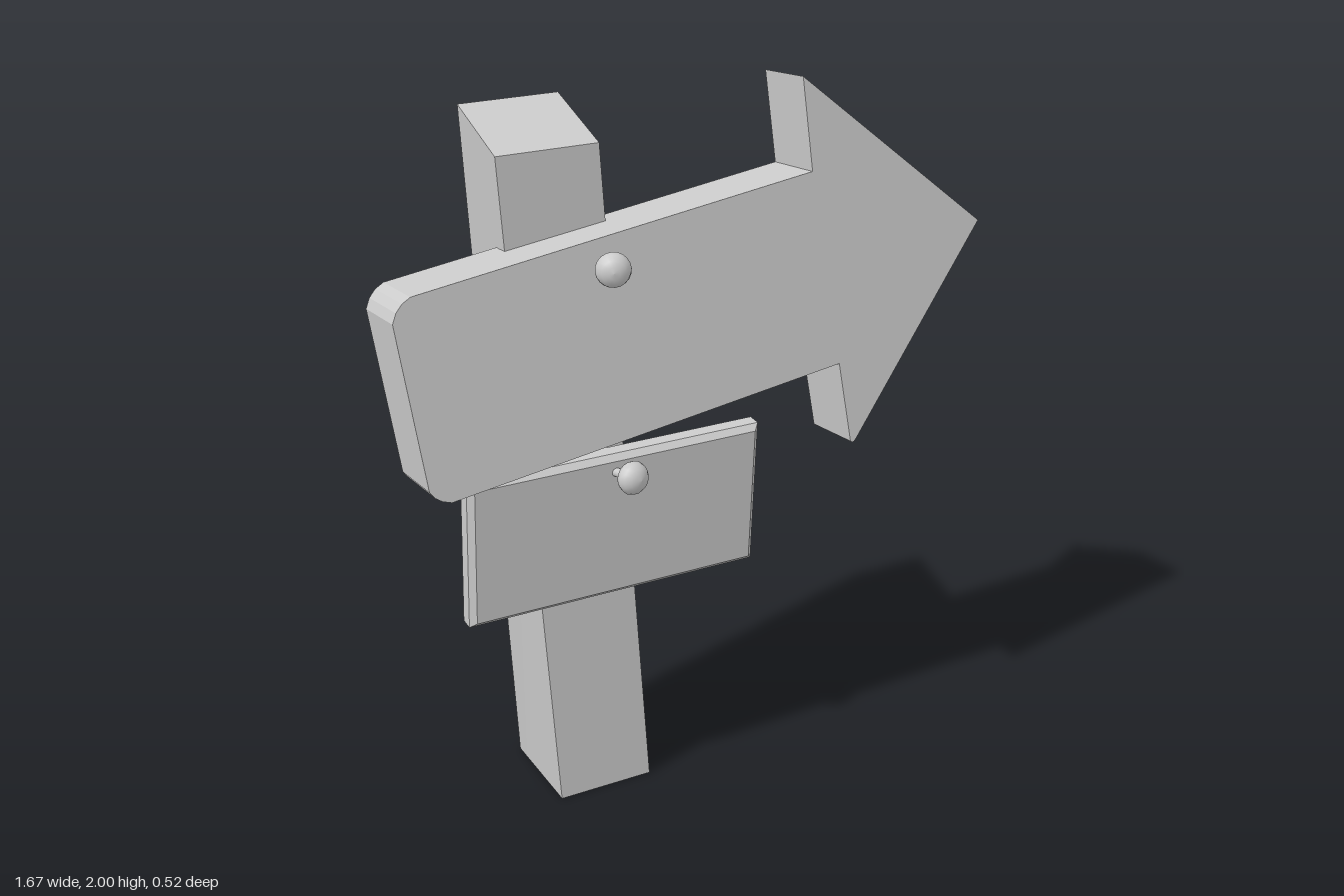
import * as THREE from 'three';

const material = new THREE.MeshStandardMaterial({ color: 0xcccccc });

function part(name, geometry) {
  const mesh = new THREE.Mesh(geometry, material);
  mesh.name = name;
  return mesh;
}

// Leaning, slightly twisted square post with a slanted top
function makePost() {
  const geometry = new THREE.BoxGeometry(2, 2, 2);
  const p = geometry.attributes.position;
  for (let i = 0; i < p.count; i++) {
    const top = p.getY(i) > 0;
    const front = p.getZ(i) > 0;
    const centre = !top ? -0.243 : front ? -0.37 : -0.345;
    const y = !top ? 0 : front ? 1.875 : 1.937;
    p.setXYZ(i, centre + p.getX(i) * 0.139, y, front ? 0.026 : -0.265);
  }
  geometry.computeVertexNormals();
  return part('post', geometry);
}

// Thick arrow board, tipped backwards; its front face lies on local z = 0
function makeArrow() {
  const depth = 0.186;
  const shape = new THREE.Shape();
  shape.moveTo(-0.79, 0.11);
  shape.quadraticCurveTo(-0.828, 0.095, -0.84, 0.052);
  shape.lineTo(-0.79, -0.375);
  shape.quadraticCurveTo(-0.775, -0.405, -0.735, -0.413);
  shape.lineTo(0.382, -0.263);
  shape.lineTo(0.412, -0.487);
  shape.quadraticCurveTo(0.42, -0.497, 0.43, -0.482);
  shape.lineTo(0.835, 0.06);
  shape.lineTo(0.295, 0.503);
  shape.lineTo(0.315, 0.26);
  shape.closePath();
  const geometry = new THREE.ExtrudeGeometry(shape, { depth, bevelEnabled: false, curveSegments: 3 });
  geometry.translate(0, 0, -depth);
  const mesh = part('arrowBoard', geometry);
  mesh.position.set(0, 1.5, 0.172);
  mesh.rotation.x = -0.106;
  return mesh;
}

// Small rectangular board with chamfered edges, tipped forwards
function makePlaque() {
  const bevel = 0.016, depth = 0.07;
  const w = 0.423 - bevel, h = 0.211 - bevel;
  const shape = new THREE.Shape([[-w, -h], [w, -h], [w, h], [-w, h]].map(([x, y]) => new THREE.Vector2(x, y)));
  const geometry = new THREE.ExtrudeGeometry(shape, {
    depth: depth - 2 * bevel, bevelSize: bevel, bevelThickness: bevel, bevelSegments: 1,
  });
  geometry.translate(0, 0, bevel - depth / 2);
  const mesh = part('plaque', geometry);
  mesh.position.set(-0.227, 0.857, 0.062);
  mesh.rotation.x = 0.065;
  return mesh;
}

// Round-headed nail pointing along a direction, placed by the centre of its head
function makeNail(name, headCentre, direction) {
  const nail = new THREE.Group();
  nail.name = name;
  const profile = [[0, -0.026], [0.026, -0.026], [0.04, -0.018], [0.045, -0.004],
    [0.041, 0.01], [0.03, 0.023], [0.015, 0.03], [0, 0.032]];
  const head = part('nailHead', new THREE.LatheGeometry(profile.map(([x, y]) => new THREE.Vector2(x, y)), 20));
  const shaft = part('nailShaft', new THREE.CylinderGeometry(0.012, 0.012, 0.14, 12));
  shaft.position.y = -0.08;
  nail.add(head, shaft);
  nail.position.set(...headCentre);
  nail.quaternion.setFromUnitVectors(new THREE.Vector3(0, 1, 0), new THREE.Vector3(...direction).normalize());
  return nail;
}

export function createModel() {
  const model = new THREE.Group();
  model.name = 'signpost';
  model.add(
    makePost(),
    makeArrow(),
    makePlaque(),
    makeNail('upperNail', [-0.295, 1.615, 0.225], [-0.42, 0.05, 1]),
    makeNail('lowerNail', [-0.22, 1.025, 0.175], [0.25, 0.1, 1]),
  );
  return model;
}
